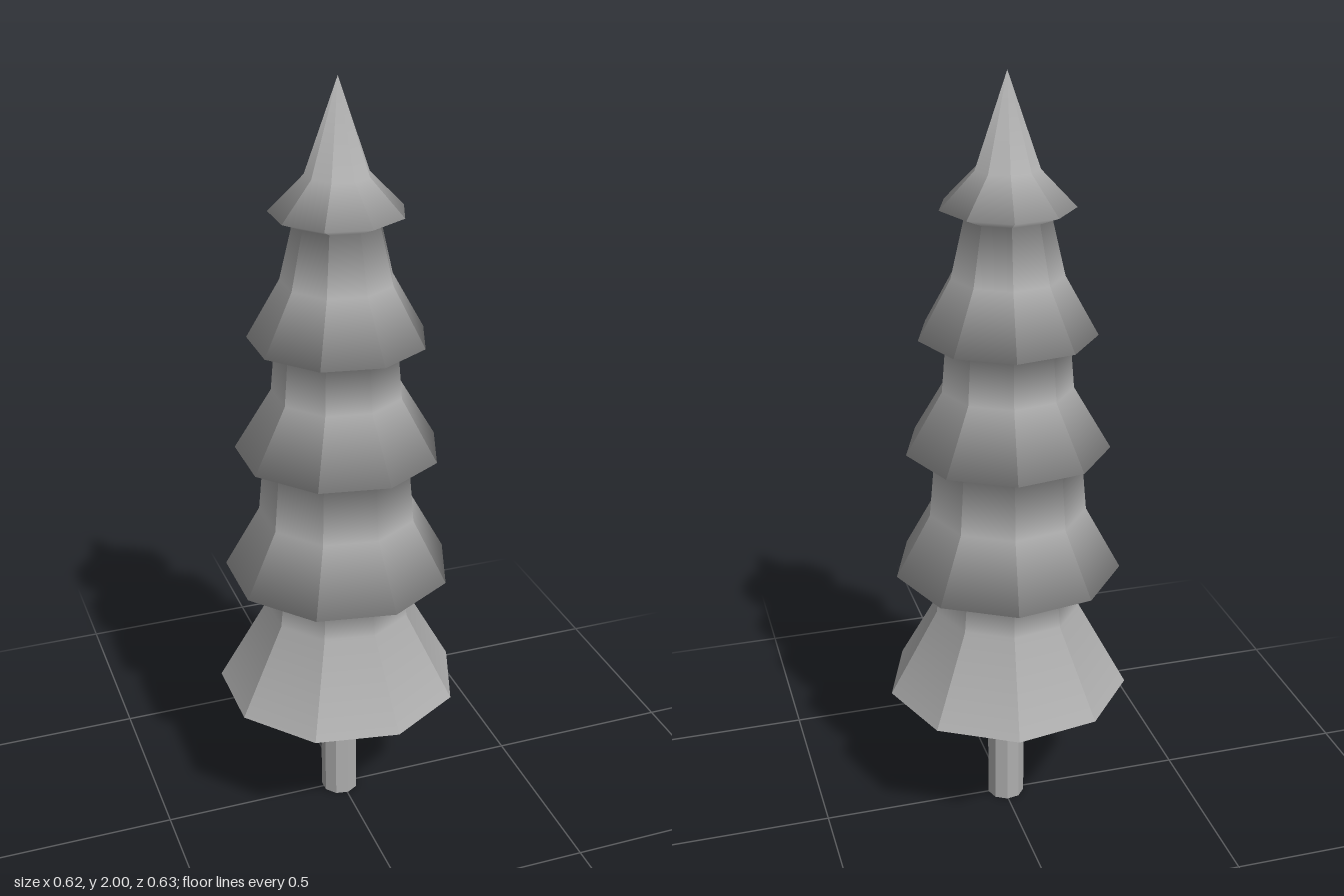
import * as THREE from 'three';
import { toCreasedNormals } from 'three/addons/utils/BufferGeometryUtils.js';

const SIDES = 9;

// Normals of a [radius, height] profile, averaged equally from the segments meeting at each point
function profileNormals(profile) {
  const segments = profile.slice(1).map(([r, y], i) =>
    new THREE.Vector2(y - profile[i][1], profile[i][0] - r).normalize());
  return profile.map((_, i) => {
    const before = segments[Math.max(i - 1, 0)];
    const after = segments[Math.min(i, segments.length - 1)];
    return before.clone().add(after).normalize();
  });
}

// Revolves the profile in flat-sided columns: sharp between columns, smooth up each one
function columnShell(profile) {
  const normals2d = profileNormals(profile);
  normals2d[normals2d.length - 1].set(0, 1); // rounded shading at the tip
  const positions = [], normals = [], index = [];
  const step = (Math.PI * 2) / SIDES;
  for (let side = 0; side < SIDES; side++) {
    const middle = (side + 0.5) * step;
    profile.forEach(([r, y], i) => {
      const n = normals2d[i];
      const first = positions.length / 3;
      for (const a of [side * step, (side + 1) * step]) {
        positions.push(r * Math.cos(a), y, -r * Math.sin(a));
        normals.push(n.x * Math.cos(middle), n.y, -n.x * Math.sin(middle));
      }
      if (i < profile.length - 1) {
        index.push(first, first + 1, first + 3, first, first + 3, first + 2);
      }
    });
  }
  const geometry = new THREE.BufferGeometry();
  geometry.setAttribute('position', new THREE.Float32BufferAttribute(positions, 3));
  geometry.setAttribute('normal', new THREE.Float32BufferAttribute(normals, 3));
  geometry.setIndex(index);
  return geometry;
}

export function createModel() {
  const tree = new THREE.Group();
  tree.name = 'pineTree';
  const material = new THREE.MeshStandardMaterial({ color: 0xaeaeae });

  const addPart = (name, geometry, x, y) => {
    const mesh = new THREE.Mesh(geometry, material);
    mesh.name = name;
    mesh.position.set(x, y, 0);
    tree.add(mesh);
  };

  // Tiers from the ground up: flared rim, waist, and neck tucked under the next rim
  const tiers = [
    { rim: [0.32, 0.37], waist: [0.192, 0.6], neck: [0.18, 0.705] },
    { rim: [0.296, 0.72], waist: [0.205, 0.885], neck: [0.19, 1.05] },
    { rim: [0.263, 1.06], waist: [0.168, 1.22], neck: [0.157, 1.35] },
    { rim: [0.226, 1.36], waist: [0.142, 1.51], neck: [0.108, 1.655] },
    { rim: [0.168, 1.68], waist: [0.08, 1.77], neck: [0, 2] },
  ];
  const profile = tiers.flatMap(({ rim, waist, neck }) => [rim, waist, neck]);
  addPart('foliage', columnShell(profile), -0.009, 0);

  // Flat underside of the lowest tier
  const underside = new THREE.CircleGeometry(0.32, SIDES).rotateX(Math.PI / 2);
  addPart('foliageUnderside', underside, -0.009, 0.37);

  // Trunk
  const trunk = new THREE.CylinderGeometry(0.05, 0.05, 0.4, SIDES, 1, false, Math.PI / 2);
  addPart('trunk', toCreasedNormals(trunk, 0.5), -0.006, 0.2);

  return tree;
}
